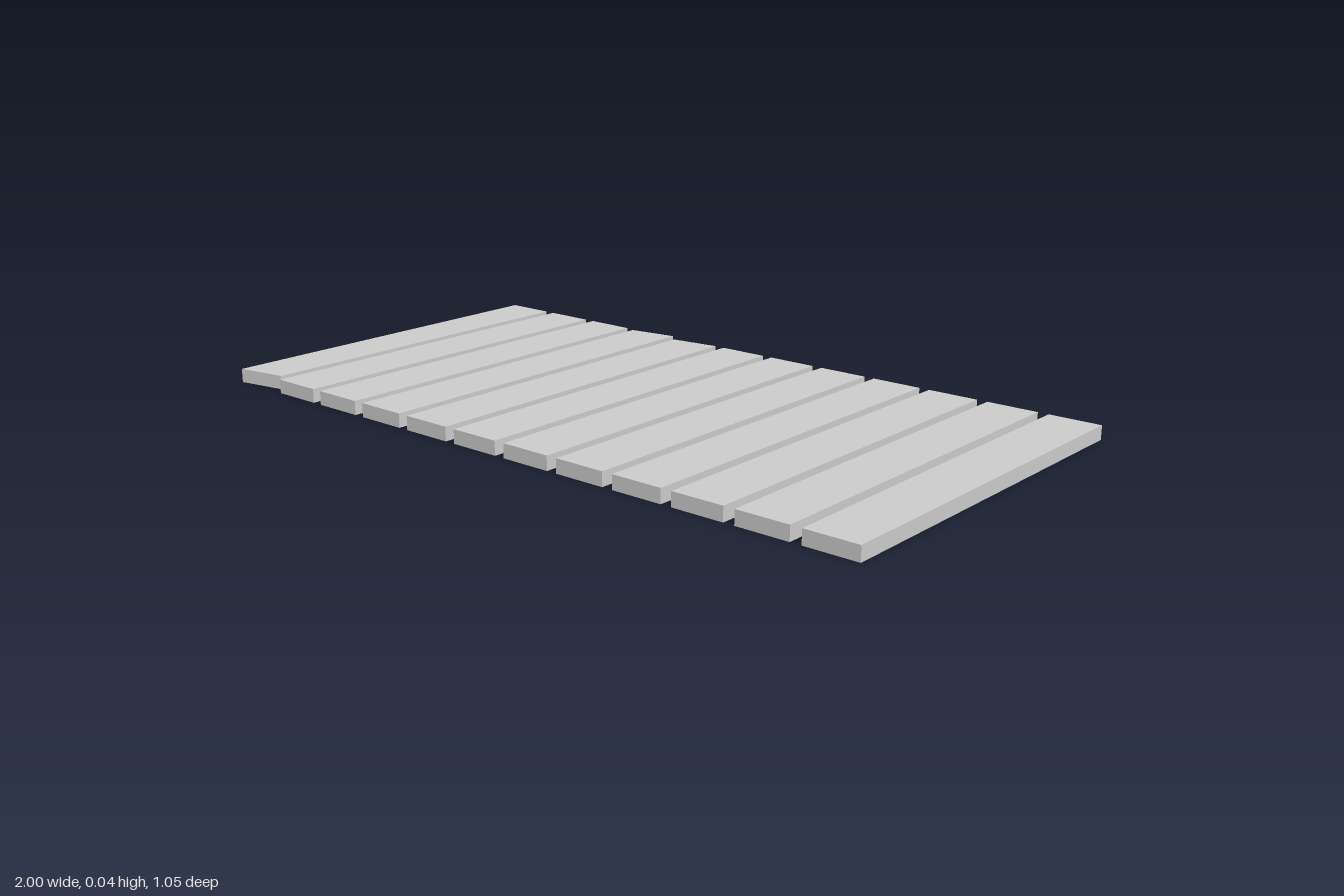
import * as THREE from 'three';

const COUNT = 12, WIDTH = 0.14, HEIGHT = 0.037;
const BACK = -0.514, FRONT = 0.525;
const PITCH = (2 - WIDTH) / (COUNT - 1);

// Planks with a slanted end: z at the [-x, +x] corners
const SLANTED = {
  0: { front: [0.525, 0.5] },
  3: { back: [-0.506, -0.526] },
  4: { back: [-0.497, -0.514] },
};

// A box whose two ends can be cut at an angle
function plankGeometry({ back = [BACK, BACK], front = [FRONT, FRONT] } = {}) {
  const geometry = new THREE.BoxGeometry(WIDTH, HEIGHT, 1);
  const p = geometry.attributes.position;
  for (let i = 0; i < p.count; i++) {
    const end = p.getZ(i) > 0 ? front : back;
    p.setZ(i, end[p.getX(i) > 0 ? 1 : 0]);
  }
  geometry.computeVertexNormals();
  return geometry;
}

export function createModel() {
  const group = new THREE.Group();
  group.name = 'plankFloor';
  const material = new THREE.MeshStandardMaterial({ color: 0xcccccc, flatShading: true });

  // Row of evenly spaced planks
  for (let i = 0; i < COUNT; i++) {
    const plank = new THREE.Mesh(plankGeometry(SLANTED[i]), material);
    plank.name = `plank${i + 1}`;
    plank.position.set(-1 + WIDTH / 2 + i * PITCH, HEIGHT / 2, 0);
    group.add(plank);
  }
  return group;
}
